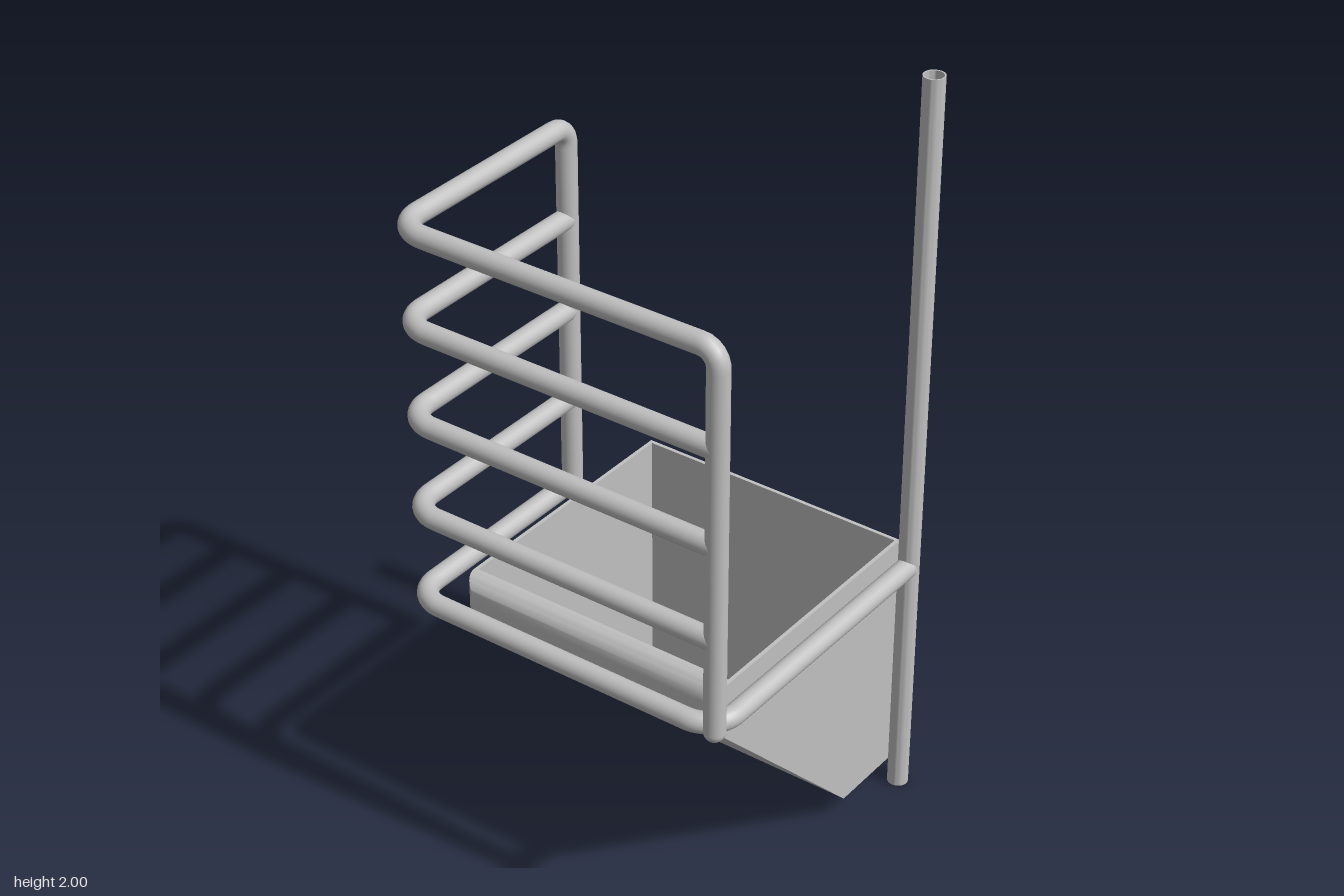
import * as THREE from 'three';
import { toCreasedNormals } from 'three/addons/utils/BufferGeometryUtils.js';

const V = (x, y, z) => new THREE.Vector3(x, y, z);
const R = 0.027; // tube radius
const LEFT = 0.445, RIGHT = -0.45, FRONT = 0.408, BACK = -0.215;
const BIN_X = 0.035;

// Path through corner points, each inner corner rounded by its own radius
function roundedPath(points, radii) {
  const path = new THREE.CurvePath();
  let from = points[0];
  for (let i = 1; i < points.length - 1; i++) {
    const p = points[i], r = radii[i - 1];
    const dirIn = p.clone().sub(points[i - 1]).normalize();
    const dirOut = points[i + 1].clone().sub(p).normalize();
    const a = p.clone().addScaledVector(dirIn, -r);
    const b = p.clone().addScaledVector(dirOut, r);
    path.add(new THREE.LineCurve3(from, a));
    path.add(new THREE.CubicBezierCurve3(a, a.clone().addScaledVector(dirIn, r * 0.55),
      b.clone().addScaledVector(dirOut, -r * 0.55), b));
    from = b;
  }
  path.add(new THREE.LineCurve3(from, points[points.length - 1]));
  return path;
}

// One skin of the hopper, inset by d from the outer surface
function hopperSkin(d, flip) {
  const r = 0.05 - d, rc = 0.04 - d, back = -0.41 + d, floor = 0.06 + d;
  const rise = 0.26 + d * Math.SQRT2;
  const arc = (rad, z) => Math.sqrt(Math.max(0, rad * rad - z * z));
  const half = z => 0.38 - d - rc + arc(rc, Math.max(0, z - 0.31));
  const hi = z => (z > 0.3 ? 0.685 + arc(r, z - 0.3) : 0.735);
  const lo = z => (z > 0.3 + r * Math.SQRT1_2 ? 0.63 - arc(r, z - 0.3) : Math.max(floor, z + rise));
  const zs = [back, floor - rise];
  for (let i = 0; i <= 12; i++) zs.push(0.3 + r * Math.sin((i / 12) * Math.PI / 2));
  const loops = zs.map(z => {
    const h = half(z);
    return [V(-h, lo(z), z), V(h, lo(z), z), V(h, hi(z), z), V(-h, hi(z), z)];
  });
  const verts = [];
  const quad = (a, b, c, e) => {
    const tris = flip ? [a, c, b, a, e, c] : [a, b, c, a, c, e];
    tris.forEach(p => verts.push(p.x, p.y, p.z));
  };
  for (let i = 0; i < loops.length - 1; i++) {
    const a = loops[i], b = loops[i + 1];
    for (let k = 0; k < 4; k++) {
      if (k === 2 && i < 2) continue; // open top
      const n = (k + 1) % 4;
      quad(a[k], a[n], b[n], b[k]);
    }
  }
  const first = loops[0], last = loops[loops.length - 1];
  quad(first[0], first[3], first[2], first[1]);
  quad(...last);
  const geo = new THREE.BufferGeometry();
  geo.setAttribute('position', new THREE.Float32BufferAttribute(verts, 3));
  return toCreasedNormals(geo, 0.5);
}

export function createModel() {
  const model = new THREE.Group();
  const steel = new THREE.MeshStandardMaterial({ color: 0xc0c0c0 });
  steel.name = 'steel grey';
  steel.side = THREE.DoubleSide;

  const add = (name, geo, x = 0, y = 0, z = 0, parent = model) => {
    const mesh = new THREE.Mesh(geo, steel);
    mesh.name = name;
    mesh.position.set(x, y, z);
    parent.add(mesh);
    return mesh;
  };
  const tube = (name, points, radii, segments = 140) =>
    add(name, new THREE.TubeGeometry(roundedPath(points, radii), segments, R, 20, false));

  // Tall hollow pole
  const wall = [[0.023, 0], [R, 0], [R, 2], [0.023, 2], [0.023, 0]].map(p => new THREE.Vector2(...p));
  add('pole', toCreasedNormals(new THREE.LatheGeometry(wall, 32).toNonIndexed(), 0.6), 0.443, 0, -0.41);

  // Guard frame: both posts and the top rail in one bent tube
  const low = 0.672, top = 1.685;
  tube('guardFrame', [
    V(LEFT, low, FRONT), V(LEFT, top, FRONT), V(RIGHT, top, FRONT),
    V(RIGHT, top, BACK), V(RIGHT, low, BACK),
  ], [0.045, 0.08, 0.045], 260);
  add('frontPostEnd', new THREE.SphereGeometry(R, 20, 14), LEFT, low, FRONT);
  add('backPostEnd', new THREE.SphereGeometry(R, 20, 14), RIGHT, low, BACK);

  // Middle rungs
  [0.925, 1.18, 1.435].forEach(y =>
    tube('guardRung', [V(LEFT, y, FRONT), V(RIGHT, y, FRONT), V(RIGHT, y, BACK)], [0.08]));

  // Lowest rail wraps round to the pole
  tube('bottomRail', [
    V(RIGHT, low, BACK), V(RIGHT, low, FRONT), V(LEFT, low, FRONT), V(LEFT, low, -0.4),
  ], [0.08, 0.08], 200);

  // Open hopper with a sloping front
  const hopper = new THREE.Group();
  hopper.name = 'hopper';
  hopper.position.x = BIN_X;
  model.add(hopper);
  add('hopperOuterSkin', hopperSkin(0, false), 0, 0, 0, hopper);
  add('hopperInnerSkin', hopperSkin(0.01, true), 0, 0, 0, hopper);

  // Rim closing the gap between the skins
  const t = 0.01, y = 0.73;
  for (const s of [-1, 1]) {
    add('sideRim', new THREE.BoxGeometry(t, t, 0.71), s * 0.375, y, -0.055, hopper);
  }
  add('backRim', new THREE.BoxGeometry(0.74, t, t), 0, y, -0.405, hopper);
  add('frontRim', new THREE.BoxGeometry(0.74, t, 0.004), 0, y - 0.0003, 0.302, hopper);

  return model;
}
